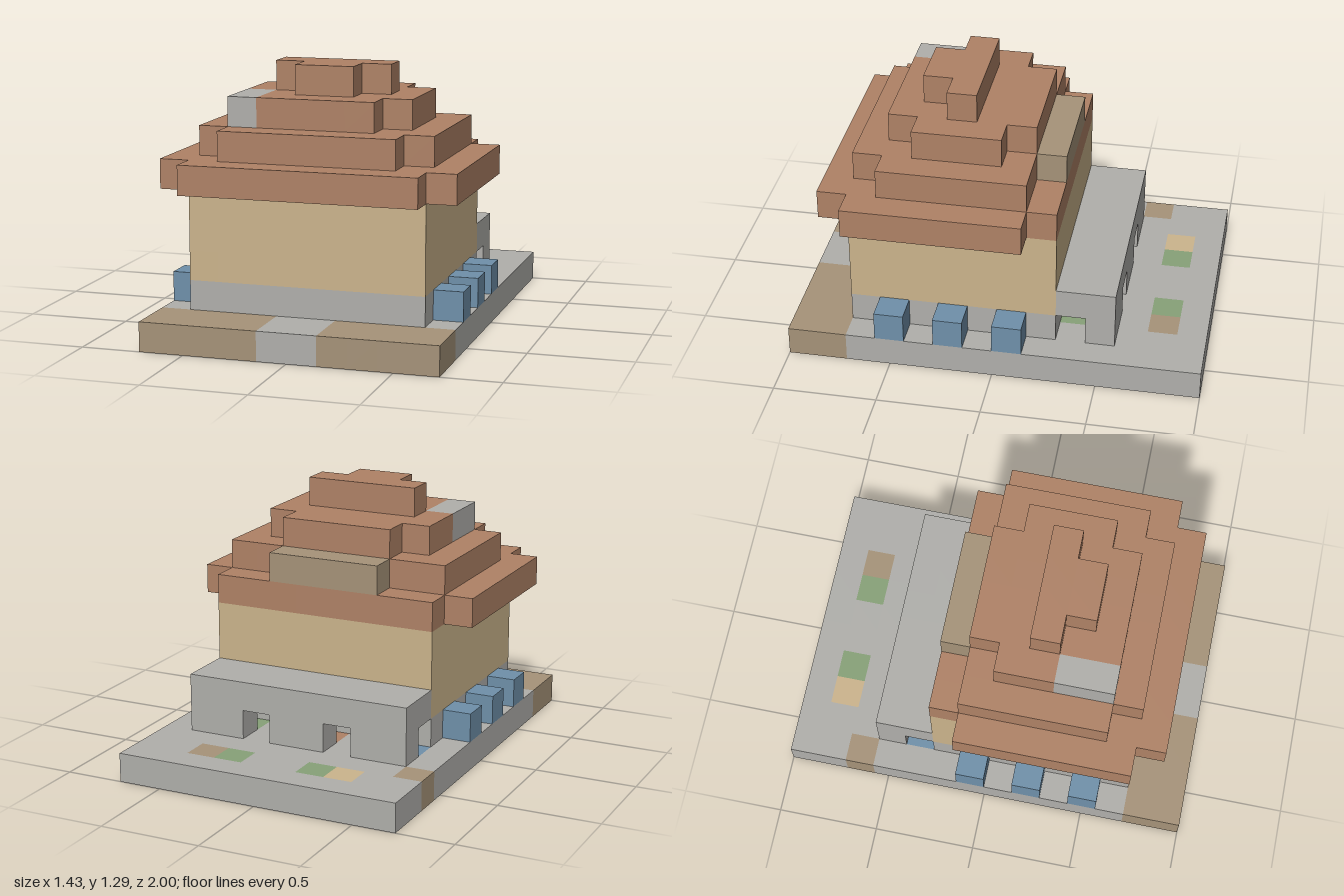
import * as THREE from 'three';
import { mergeGeometries } from 'three/addons/utils/BufferGeometryUtils.js';

const UNIT = 1 / 7; // edge of one block; the plan is 10 blocks wide and 14 deep

const mat = (name, color) => {
  const m = new THREE.MeshStandardMaterial({ color, side: THREE.DoubleSide });
  m.name = name;
  return m;
};

// Outward faces of one block: four walls and a top, the shell is open underneath
const faces = [0, 1, 2, 3].map(k => ({
  normal: [Math.round(Math.sin(k * Math.PI / 2)), 0, Math.round(Math.cos(k * Math.PI / 2))],
  plane: new THREE.PlaneGeometry(1, 1).translate(0, 0, 0.5).rotateY(k * Math.PI / 2),
}));
faces.push({
  normal: [0, 1, 0],
  plane: new THREE.PlaneGeometry(1, 1).translate(0, 0, 0.5).rotateX(-Math.PI / 2),
});

export function createModel() {
  const stone = mat('stone grey', 0xb0afab);
  const earth = mat('earth brown', 0xa69379);
  const plaster = mat('sand plaster', 0xcbb48c);
  const tile = mat('terracotta', 0xaf8266);
  const blue = mat('shutter blue', 0x6f90aa);
  const green = mat('leaf green', 0x87a178);

  const blocks = new Map(); // "x,y,z" -> part name
  const materials = {};     // part name -> material

  // Fill a range of blocks; a later part replaces the blocks of an earlier one
  const fill = (name, material, x, y, z, w = 1, h = 1, d = 1) => {
    materials[name] = material;
    for (let i = x; i < x + w; i++)
      for (let j = y; j < y + h; j++)
        for (let k = z; k < z + d; k++) blocks.set([i, j, k].join(), name);
  };
  // The same, centred on the width
  const slab = (name, material, w, y, h, z, d) => fill(name, material, 5 - w / 2, y, z, w, h, d);

  // Ground plate with a path in front
  slab('basePlate', stone, 10, 0, 1, 0, 14);
  slab('frontGround', earth, 10, 0, 1, 12, 2);
  slab('frontPath', stone, 2, 0, 1, 12, 2);

  // Coloured paving in the yard and in the passage
  fill('sandPaving', plaster, 2, 0, 1);
  fill('greenPaving', green, 3, 0, 1);
  fill('greenPaving', green, 6, 0, 1);
  fill('earthPaving', earth, 7, 0, 1);
  fill('earthPaving', earth, 0, 0, 2);
  fill('bluePaving', blue, 1, 0, 4);
  fill('tilePaving', tile, 4, 0, 4);
  fill('greenPaving', green, 7, 0, 4);

  // House with boxes along both sides
  slab('houseFooting', stone, 8, 1, 1, 5, 7);
  slab('houseWalls', plaster, 8, 2, 3, 5, 7);
  for (const z of [6, 8, 10])
    for (const x of [0, 9]) fill('sideBoxes', blue, x, 1, z);

  // Covered passage behind the house, with gaps between its wall pieces
  slab('passageRoof', stone, 8, 2, 1, 3, 2);
  for (const x of [1, 4, 7]) fill('passageWall', stone, x, 1, 3, 2);

  // Stepped roof: each tier is smaller, with a narrower step in front and on every other back
  for (let i = 0; i < 4; i++) {
    const name = 'roofTier' + (i + 1);
    const width = 10 - 2 * i, front = 12 - i, back = Math.max(6, 5 + i);
    slab(name, tile, width, 5 + i, 1, back, front - back);
    slab(name, tile, width - 2, 5 + i, 1, front, 1);
    if (i % 2 === 0) slab(name, tile, width - 2, 5 + i, 1, back - 1, 1);
  }
  slab('dormer', earth, 4, 6, 1, 5, 1);
  fill('chimney', stone, 2, 7, 9, 1, 1, 2);

  // Collect the exposed faces of each part
  const exposed = {};
  for (const [key, name] of blocks) {
    const [x, y, z] = key.split(',').map(Number);
    for (const { normal, plane } of faces) {
      if (blocks.has([x + normal[0], y + normal[1], z + normal[2]].join())) continue;
      (exposed[name] ??= []).push(plane.clone().translate(x - 4.5, y + 0.5, z - 6.5));
    }
  }

  const model = new THREE.Group();
  model.name = 'blockHouse';
  for (const name in exposed) {
    const geometry = mergeGeometries(exposed[name]).scale(UNIT, UNIT, UNIT);
    const mesh = new THREE.Mesh(geometry, materials[name]);
    mesh.name = name;
    model.add(mesh);
  }
  return model;
}
